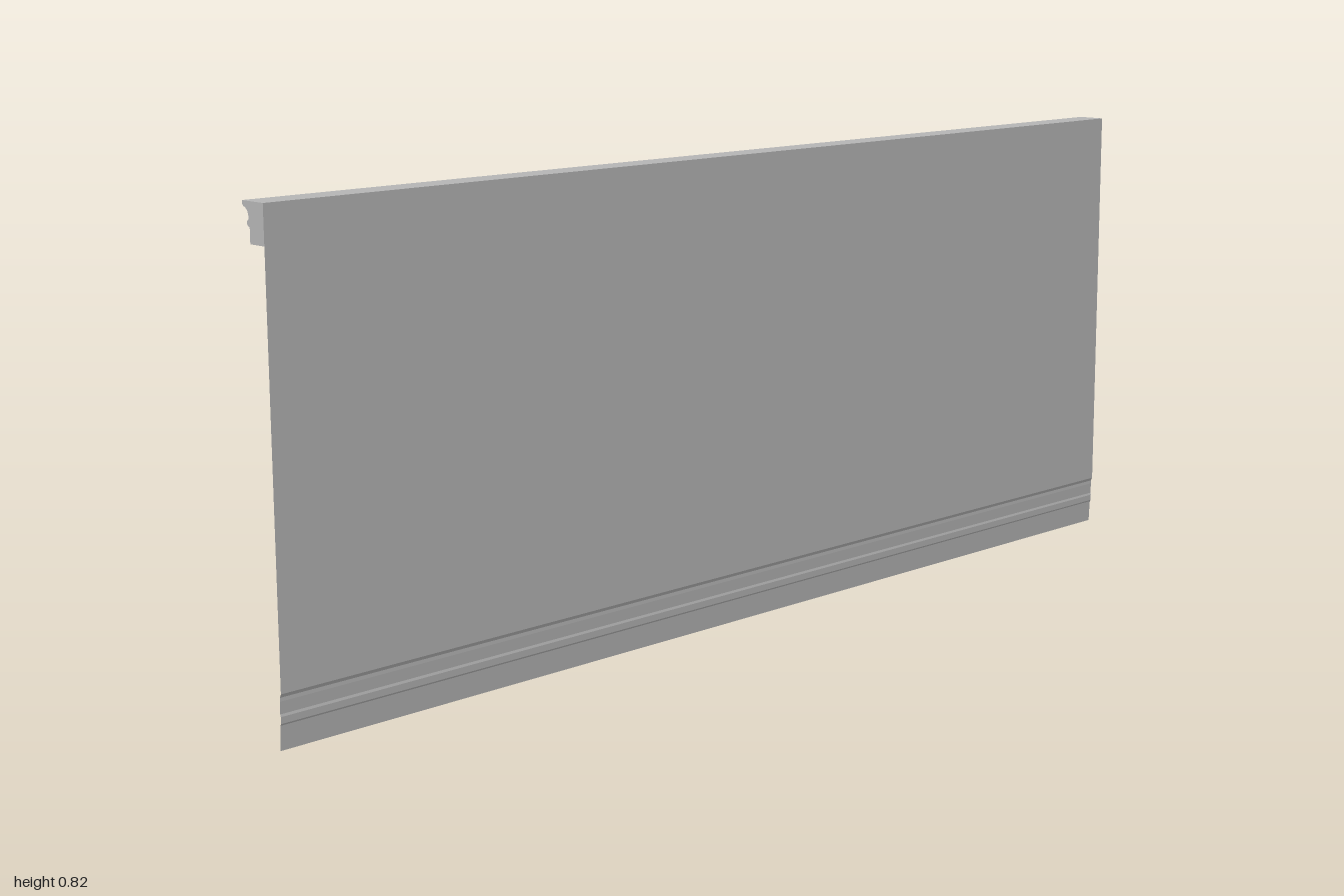
import * as THREE from 'three';

const LENGTH = 2;

// Flat-shaded open strip swept along x from a [z, y] profile
function sweepStrip(profile) {
  const pos = [];
  const h = LENGTH / 2;
  for (let i = 0; i < profile.length - 1; i++) {
    const [z0, y0] = profile[i];
    const [z1, y1] = profile[i + 1];
    pos.push(-h, y0, z0, h, y0, z0, h, y1, z1);
    pos.push(-h, y0, z0, h, y1, z1, -h, y1, z1);
  }
  const geo = new THREE.BufferGeometry();
  geo.setAttribute('position', new THREE.Float32BufferAttribute(pos, 3));
  geo.computeVertexNormals();
  return geo;
}

// Solid moulding swept along x from a closed [z, y] profile
function sweepSolid(profile) {
  const shape = new THREE.Shape(profile.map(([z, y]) => new THREE.Vector2(-z, y)));
  const geo = new THREE.ExtrudeGeometry(shape, { depth: LENGTH, bevelEnabled: false });
  geo.rotateY(Math.PI / 2);
  geo.translate(-LENGTH / 2, 0, 0);
  return geo;
}

export function createModel() {
  const model = new THREE.Group();
  model.name = 'wallPanel';

  const grey = new THREE.MeshStandardMaterial({ color: 0xb4b4b4, side: THREE.DoubleSide });
  grey.name = 'plainGrey';

  const add = (name, geo) => {
    const mesh = new THREE.Mesh(geo, grey);
    mesh.name = name;
    model.add(mesh);
  };

  // Thin wall sheet between skirting and crown
  add('wallSheet', sweepStrip([[0.026, 0.09], [0.026, 0.762]]));

  // Shallow skirting relief, stepping back towards -z
  add('skirting', sweepStrip([
    [0.020, 0], [0.0208, 0.02], [0.0218, 0.04], [0.0235, 0.043],
    [0.0238, 0.054], [0.0225, 0.058], [0.0235, 0.078], [0.0232, 0.084],
    [0.0245, 0.087], [0.026, 0.09],
  ]));

  // Crown moulding with a bead and a cove on the back side
  add('crownMoulding', sweepSolid([
    [0.026, 0.762], [-0.009, 0.762], [-0.009, 0.787], [-0.013, 0.788],
    [-0.0155, 0.791], [-0.0155, 0.794], [-0.013, 0.797], [-0.011, 0.798],
    [-0.0115, 0.804], [-0.013, 0.809], [-0.016, 0.813], [-0.020, 0.8155],
    [-0.0235, 0.8165], [-0.0255, 0.819], [-0.026, 0.825], [0.026, 0.825],
  ]));

  return model;
}
